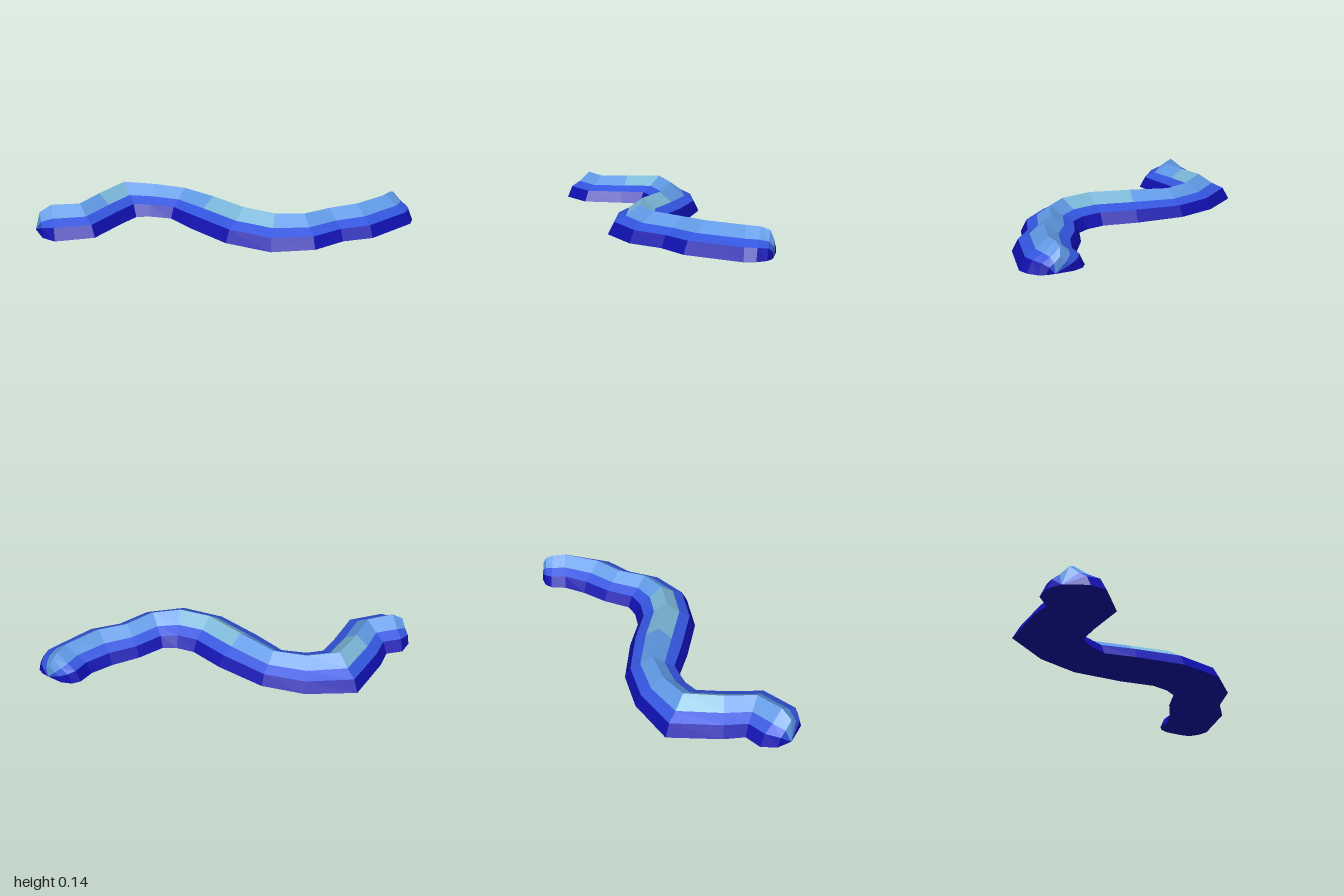
import * as THREE from 'three';

// Rings along the body: back edge x, z, front edge x, z, ridge height
const RINGS = [
  [-1.0, 0.005, -1.0, 0.01, 0],
  [-0.985, -0.07, -0.955, 0.125, 0.105],
  [-0.93, -0.13, -0.89, 0.175, 0.14],
  [-0.84, -0.135, -0.69, 0.15, 0.135],
  [-0.78, -0.225, -0.555, -0.015, 0.138],
  [-0.595, -0.425, -0.475, -0.1, 0.145],
  [-0.33, -0.39, -0.405, -0.1, 0.132],
  [-0.125, -0.29, -0.29, -0.06, 0.13],
  [0.065, -0.1, -0.195, 0.08, 0.14],
  [0.18, 0.05, -0.03, 0.285, 0.145],
  [0.265, 0.1, 0.18, 0.415, 0.141],
  [0.34, 0.115, 0.405, 0.41, 0.136],
  [0.475, 0.05, 0.565, 0.325, 0.13],
  [0.62, 0.01, 0.725, 0.3, 0.135],
  [0.73, -0.04, 0.97, 0.14, 0.135],
  [0.79, -0.1, 0.995, 0.09, 0.13],
  [0.835, -0.11, 1.0, 0.035, 0.115],
  [0.89, -0.09, 0.985, 0.0, 0.075],
  [0.957, -0.03, 0.957, -0.03, 0],
];
// Cross-section: position across the width and share of the ridge height
const PROFILE = [[0, 0], [0.1, 0.44], [0.28, 0.64], [0.5, 1], [0.72, 0.64], [0.9, 0.44], [1, 0]];
const PATCHES = [4, 8, 9]; // body segments with a pale back

function flatMaterial(name, color) {
  const material = new THREE.MeshStandardMaterial({ color, flatShading: true });
  material.name = name;
  return material;
}

export function createModel() {
  const group = new THREE.Group();
  group.name = 'worm';

  const rings = RINGS.map(([bx, bz, fx, fz, h]) =>
    PROFILE.map(([t, s]) => [bx + (fx - bx) * t, h * s, bz + (fz - bz) * t]));

  const parts = {
    lowerBody: { material: flatMaterial('dark blue', 0x1010b0), points: [] },
    sideBand: { material: flatMaterial('mid blue', 0x3355dd), points: [] },
    back: { material: flatMaterial('light blue', 0x6099e4), points: [] },
    backPatches: { material: flatMaterial('pale teal', 0x7ab5d6), points: [] },
  };
  const quad = (part, a, b, c, d) => part.points.push(...a, ...b, ...c, ...a, ...c, ...d);

  for (let k = 0; k < rings.length - 1; k++) {
    const p = rings[k], q = rings[k + 1];
    const top = PATCHES.includes(k) ? parts.backPatches : parts.back;
    const bands = [parts.lowerBody, parts.sideBand, top, top, parts.sideBand, parts.lowerBody];
    bands.forEach((part, i) => quad(part, p[i], p[i + 1], q[i + 1], q[i]));
    // flat belly
    quad(parts.lowerBody, p[0], q[0], q[6], p[6]);
  }

  for (const [name, { material, points }] of Object.entries(parts)) {
    const geometry = new THREE.BufferGeometry();
    geometry.setAttribute('position', new THREE.Float32BufferAttribute(points, 3));
    geometry.computeVertexNormals();
    const mesh = new THREE.Mesh(geometry, material);
    mesh.name = name;
    group.add(mesh);
  }
  return group;
}
